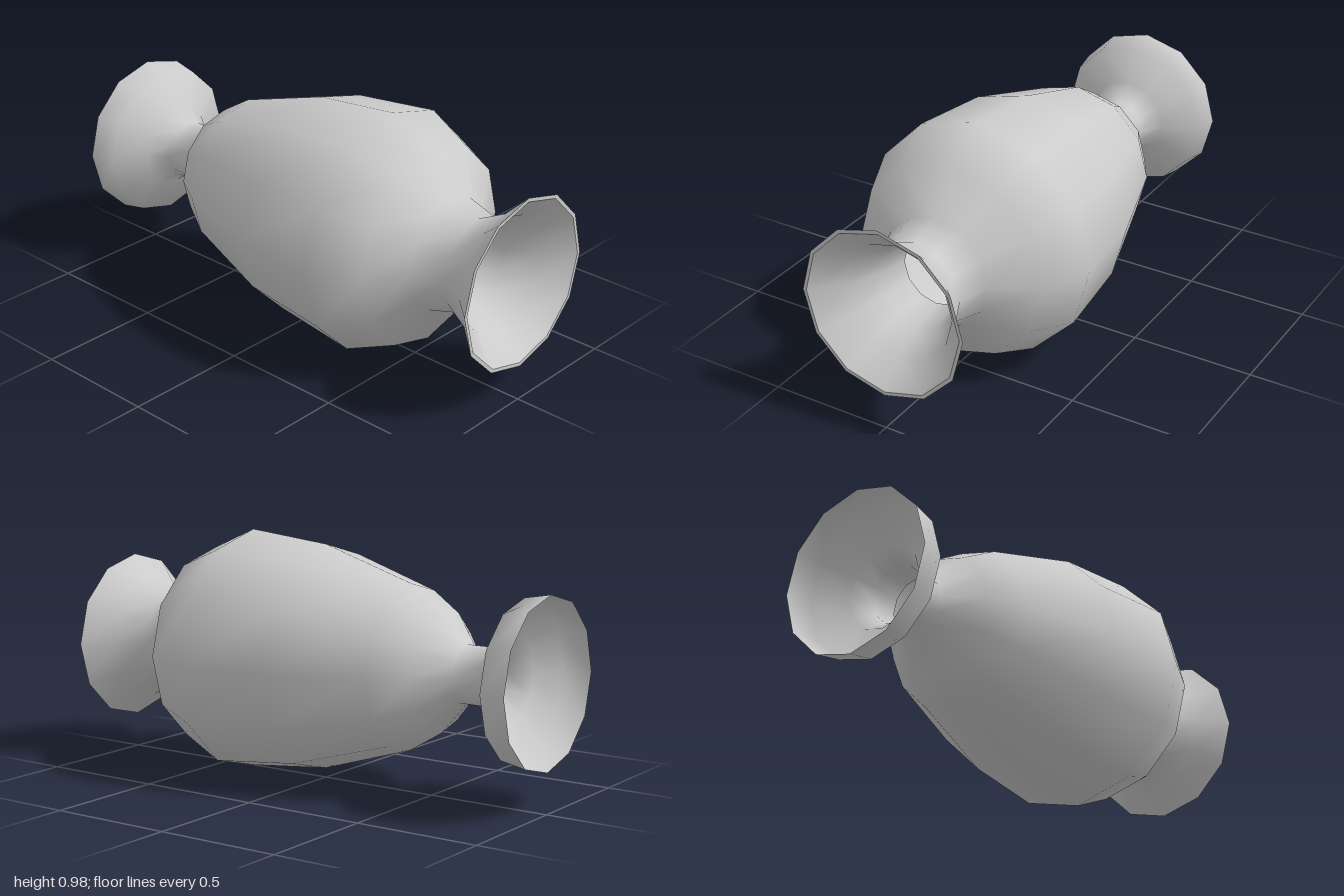
import * as THREE from 'three';

const SIDES = 12;
const CENTRE_Y = 0.49;

// Turns a profile of [radius, z] pairs around the z axis
function turned(name, profile, material) {
  const points = profile.map(([r, z]) => new THREE.Vector2(r, z));
  const geometry = new THREE.LatheGeometry(points, SIDES);
  geometry.rotateX(Math.PI / 2);
  const mesh = new THREE.Mesh(geometry, material);
  mesh.name = name;
  mesh.position.y = CENTRE_Y;
  return mesh;
}

export function createModel() {
  const model = new THREE.Group();
  model.name = 'vase';
  const material = new THREE.MeshStandardMaterial({ color: 0xcccccc, side: THREE.DoubleSide });

  // Outer wall: flared back end, narrow neck, swelling belly, neck and front flare
  model.add(turned('outerWall', [
    [0.33, -1], [0.31, -0.89], [0.17, -0.84], [0.115, -0.76], [0.115, -0.65],
    [0.24, -0.54], [0.325, -0.4], [0.45, 0], [0.488, 0.36], [0.4, 0.56],
    [0.225, 0.65], [0.19, 0.78], [0.25, 0.9], [0.345, 1],
  ], material));

  // Flat lip of the mouth
  model.add(turned('mouthLip', [[0.345, 1], [0.33, 1]], material));

  // Funnel inside the mouth, open towards the belly
  model.add(turned('mouthFunnel', [
    [0.33, 1], [0.235, 0.9], [0.17, 0.78], [0.14, 0.65],
  ], material));

  return model;
}
